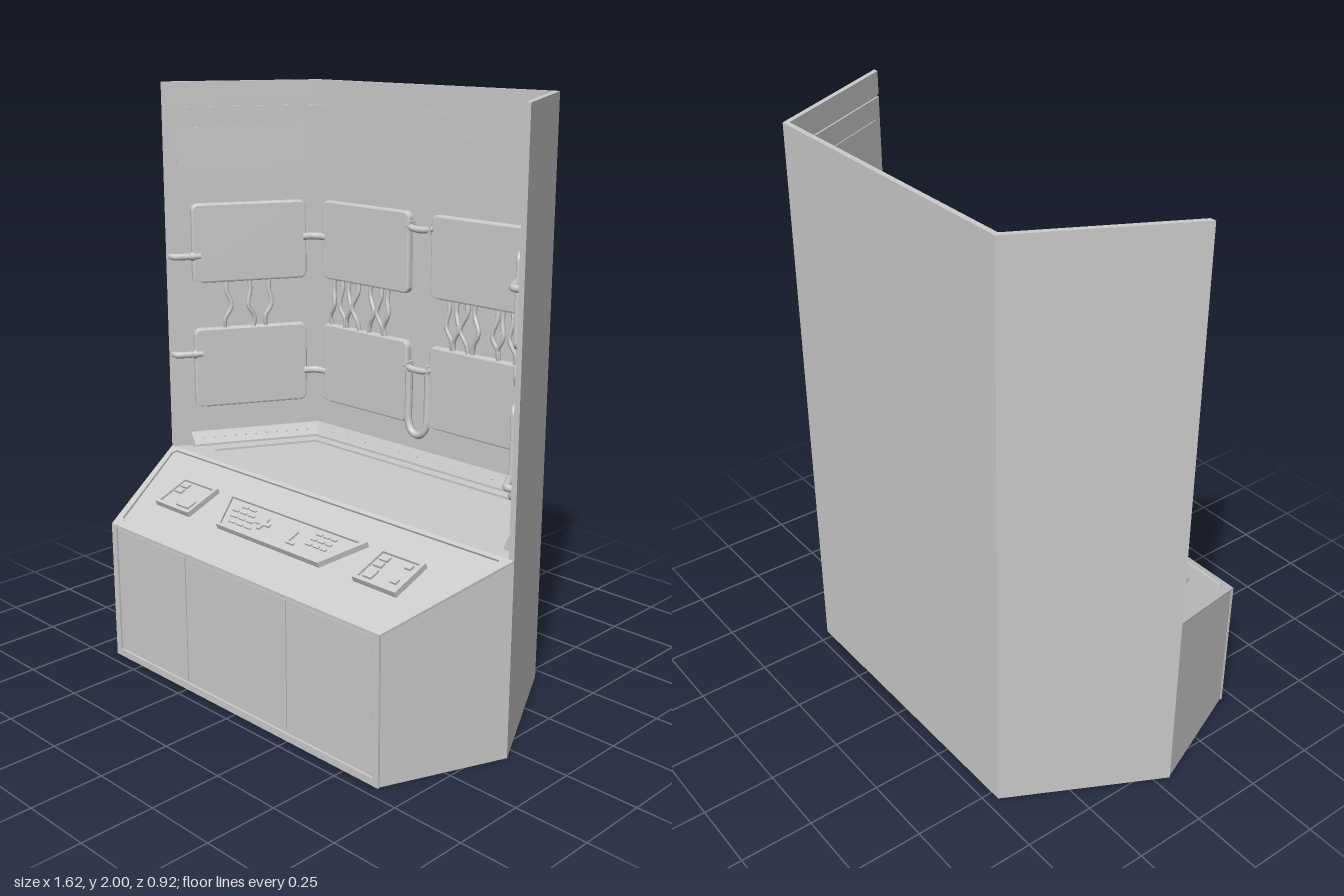
import * as THREE from 'three';
import { ConvexGeometry } from 'three/addons/geometries/ConvexGeometry.js';

const mat = new THREE.MeshStandardMaterial({ color: 0xcccccc, flatShading: true });
const smooth = new THREE.MeshStandardMaterial({ color: 0xcccccc });
const V = (x, y, z) => new THREE.Vector3(x, y, z);

function add(parent, name, geometry, x = 0, y = 0, z = 0, material = mat) {
  const m = new THREE.Mesh(geometry, material);
  m.name = name;
  m.position.set(x, y, z);
  parent.add(m);
  return m;
}
function group(parent, name, x, y, z, rx = 0, ry = 0) {
  const g = new THREE.Group();
  g.name = name;
  g.position.set(x, y, z);
  g.rotation.set(rx, ry, 0);
  parent.add(g);
  return g;
}
const box = (p, name, w, h, d, x, y, z) => add(p, name, new THREE.BoxGeometry(w, h, d), x, y, z);
const poly = pts => new THREE.Shape(pts.map(p => new THREE.Vector2(...p)));
const extrude = (shape, depth) => new THREE.ExtrudeGeometry(shape, { depth, bevelEnabled: false });
function frame(outer, inner, depth) {
  const s = poly(outer);
  s.holes.push(poly(inner));
  return extrude(s, depth);
}
// Symmetric trapezoid: half width and height of the top and bottom edges
const trap = (xt, yt, xb, yb) => [[-xb, yb], [xb, yb], [xt, yt], [-xt, yt]];
function roundRect(w, h, r) {
  const s = new THREE.Shape(), x = w / 2, y = h / 2;
  s.absarc(x - r, y - r, r, 0, Math.PI / 2);
  s.absarc(r - x, y - r, r, Math.PI / 2, Math.PI);
  s.absarc(r - x, r - y, r, Math.PI, Math.PI * 1.5);
  s.absarc(x - r, r - y, r, Math.PI * 1.5, Math.PI * 2);
  return s;
}
function tube(p, name, pts, r, n = 20) {
  const curve = new THREE.CatmullRomCurve3(pts.map(q => V(...q)));
  return add(p, name, new THREE.TubeGeometry(curve, n, r, 8), 0, 0, 0, smooth);
}

// Wall plan: corner i (0..3, from -x to +x) moved inward by o, ending at z = end
function plan(i, o, end = 0.05) {
  const side = i < 2 ? -1 : 1;
  if (i === 1 || i === 2) return [side * (0.535 - 0.597 * o), -0.46 + o];
  return [side * (0.535 - 0.88 * o + 0.475 * (end + 0.46 - 0.475 * o) / 0.88), end];
}
function wallShell(p, name, o0, o1, y0, y1) {
  const pts = [0, 1, 2, 3].map(i => plan(i, o0)).concat([3, 2, 1, 0].map(i => plan(i, o1)));
  const m = add(p, name, extrude(poly(pts.map(([x, z]) => [x, -z])), y1 - y0), 0, y0, 0);
  m.rotation.x = -Math.PI / 2;
}

// Bevelled screen with a latch and slots; x, y is its centre on the wall
function screen(p, x, y, h) {
  const g = group(p, 'screen', x, y, 0);
  add(g, 'screenBody', new THREE.ExtrudeGeometry(roundRect(0.43, h, 0.025),
    { depth: 0.016, bevelThickness: 0.007, bevelSize: 0.007, bevelOffset: -0.007, bevelSegments: 2, curveSegments: 5 }));
  box(g, 'latch', 0.04, 0.045, 0.012, -0.195, 0.025 - h / 2, 0.016);
  box(g, 'slot', 0.03, 0.005, 0.003, -0.14, 0.03 - h / 2, 0.023);
}
function cables(p, xs) {
  xs.forEach((x, i) => {
    const b = 0.012 * (i % 2 ? 1 : -1), lean = 0.008 * ((i * 5) % 3 - 1);
    tube(p, 'cable', [[x, 1.3, 0.01], [x + b * 0.4, 1.25, 0.014], [x - b + lean, 1.19, 0.02],
      [x + b + lean, 1.14, 0.016], [x + b, 1.09, 0.01]], 0.008);
  });
}
// Short pipe leaving a screen edge and turning into the wall
function elbow(p, x, y, dir) {
  tube(p, 'elbowPipe', [[x - dir * 0.02, y, 0.018], [x + dir * 0.04, y, 0.02],
    [x + dir * 0.075, y, 0.016], [x + dir * 0.085, y, -0.005]], 0.012);
  const c = add(p, 'pipeCollar', new THREE.CylinderGeometry(0.016, 0.016, 0.014, 10), x + dir * 0.01, y, 0.018, smooth);
  c.rotation.z = Math.PI / 2;
}

export function createModel() {
  const root = new THREE.Group();
  root.name = 'controlBooth';

  // Folded wall with a groove below its top band
  wallShell(root, 'wallShell', 0, 0.012, 0, 2);
  wallShell(root, 'wallLining', 0.011, 0.018, 0.6, 1.912);
  wallShell(root, 'wallTopBand', 0.011, 0.018, 1.922, 2);

  // Console body
  const body = [];
  for (const s of [-1, 1]) for (const [x, y, z] of [[0.529, 0.652, -0.45], [0.808, 0.652, 0.048], [0.643, 0.492, 0.452]])
    body.push(V(s * x, 0, z), V(s * x, y, z));
  add(root, 'consoleBody', new ConvexGeometry(body));

  // Counter rim around a sunken panel
  const counter = group(root, 'counter', 0, 0.652, 0, -Math.PI / 2);
  add(counter, 'counterRim', frame(trap(0.53, 0.45, 0.81, -0.05), trap(0.475, 0.38, 0.66, 0.025), 0.008));

  // Sloped desk
  const slope = group(root, 'slopedDesk', 0, 0.6525, 0.047, -1.1988);
  const t = z => -(z - 0.05) / 0.932;
  add(slope, 'deskRim', frame(trap(0.81, 0, 0.645, -0.44),
    [[-0.61, t(0.432)], [0.61, t(0.432)], [0.632, t(0.42)], [0.774, t(0.08)], [0.765, t(0.066)],
      [-0.765, t(0.066)], [-0.774, t(0.08)], [-0.632, t(0.42)]], 0.008));
  const yTop = t(0.175), yBot = t(0.315), yMid = (yTop + yBot) / 2;
  add(slope, 'keyPanelFrame', frame(trap(0.33, yTop, 0.245, yBot), trap(0.305, yTop - 0.012, 0.236, yBot + 0.012), 0.02));
  add(slope, 'keyPanel', extrude(poly(trap(0.31, yTop - 0.01, 0.236, yBot + 0.01)), 0.012));
  for (let r = 0; r < 4; r++) {
    const y = yTop - 0.035 - r * 0.026;
    for (let c = 0; c < 3; c++) {
      if (r || c) box(slope, 'key', 0.03, 0.008, 0.007, -0.255 + c * 0.04 + r * 0.017, y, 0.014);
      if (r < 3) box(slope, 'key', 0.025, 0.01, 0.007, 0.145 + c * 0.033, y, 0.014);
    }
  }
  box(slope, 'crossKey', 0.065, 0.014, 0.008, -0.085, yMid, 0.015);
  box(slope, 'crossKey', 0.014, 0.055, 0.008, -0.085, yMid, 0.015);
  box(slope, 'cornerKey', 0.008, 0.06, 0.008, 0.065, yMid - 0.01, 0.015);
  box(slope, 'cornerKey', 0.035, 0.008, 0.008, 0.08, yMid - 0.036, 0.015);
  for (const s of [-1, 1]) {
    const g = group(slope, 'switchBox', s * 0.485, yMid, 0);
    add(g, 'switchFrame', frame(trap(0.09, 0.075, 0.09, -0.075), trap(0.077, 0.062, 0.077, -0.062), 0.02));
    box(g, 'switchPlate', 0.16, 0.13, 0.012, 0, 0, 0.006);
    box(g, 'switch', 0.035, 0.022, 0.01, -0.05, 0.04, 0.015);
    box(g, 'switch', 0.035, 0.022, 0.01, -0.05, 0.01, 0.015);
    box(g, 'switch', s < 0 ? 0.065 : 0.035, 0.04, 0.01, s < 0 ? 0.035 : -0.045, -0.035, 0.015);
    if (s > 0) for (const y of [0.04, -0.03]) box(g, 'switch', 0.025, 0.02, 0.01, 0.05, y, 0.015);
  }

  // Front frame and three doors
  add(root, 'frontFrame', frame(trap(0.645, 0.498, 0.645, 0), trap(0.62, 0.488, 0.62, 0.025), 0.008), 0, 0, 0.452);
  for (const [x, w] of [[-0.432, 0.368], [0, 0.484], [0.432, 0.368]])
    box(root, 'door', w, 0.455, 0.006, x, 0.2565, 0.453);

  // Sloping skirting along the wall foot, with rivets
  for (let i = 0; i < 3; i++) {
    const pts = [];
    for (const j of [i, i + 1]) for (const [o, y] of [[0.014, 0.655], [0.045, 0.655], [0.045, 0.668], [0.025, 0.712], [0.014, 0.712]]) {
      const [x, z] = plan(j, o, 0);
      pts.push(V(x, y, z));
    }
    add(root, 'skirting', new ConvexGeometry(pts));
    const a = plan(i, 0.035, 0), b = plan(i + 1, 0.035, 0);
    for (let k = 1; k < 12; k++)
      add(root, 'rivet', new THREE.SphereGeometry(0.004, 6, 4),
        a[0] + (b[0] - a[0]) * k / 12, 0.69, a[1] + (b[1] - a[1]) * k / 12);
  }

  // Back wall: four screens, cables and linking pipes
  const back = group(root, 'backWallEquipment', 0, 0, -0.442);
  box(back, 'signPanel', 0.98, 0.15, 0.004, 0, 1.765, 0.001);
  for (const x of [-0.265, 0.265]) {
    screen(back, x, 1.425, 0.29);
    screen(back, x, 0.96, 0.3);
  }
  cables(back, [-0.42, -0.385, -0.345, -0.305, -0.235, -0.19, -0.15, 0.13, 0.17, 0.21, 0.25, 0.34, 0.37, 0.405]);
  for (const y of [1.515, 1.015]) {
    tube(back, 'linkPipe', [[-0.06, y + 0.008, 0.016], [-0.03, y, 0.024], [0.03, y, 0.024], [0.06, y + 0.008, 0.016]], 0.012);
    for (const x of [-0.047, 0.047]) box(back, 'pipeClamp', 0.014, 0.036, 0.03, x, y + 0.005, 0.015);
  }
  const u = [[-0.045, 1.0, 0.016], [-0.045, 0.9, 0.016], [-0.043, 0.82, 0.018]];
  tube(back, 'drainPipe', [...u, [-0.027, 0.785, 0.02], [0, 0.773, 0.02], [0.027, 0.785, 0.02],
    ...u.map(([x, y, z]) => [-x, y, z]).reverse()], 0.014, 40);

  // Side walls: two screens each; local x runs along the wall from the back corner
  for (const s of [-1, 1]) {
    const g = group(root, s > 0 ? 'leftWallEquipment' : 'rightWallEquipment', s * 0.524, 0, -0.442, 0, -s * 1.076);
    box(g, 'signPanel', 0.47, 0.15, 0.004, s * 0.29, 1.765, 0.001);
    screen(g, s * 0.265, 1.425, 0.29);
    screen(g, s * 0.265, 0.96, 0.3);
    cables(g, (s > 0 ? [0.12, 0.19, 0.27, 0.34, 0.4] : [0.19, 0.27, 0.35]).map(x => s * x));
    elbow(g, s * 0.47, s > 0 ? 1.48 : 1.38, s);
    elbow(g, s * 0.47, s > 0 ? 0.88 : 1.015, s);
    // Pipes bending round the corner to the back screens
    for (const y of [s > 0 ? 1.37 : 1.435, 0.925])
      tube(root, 'cornerPipe', [[s * 0.46, y, -0.424], [s * 0.49, y, -0.422], [s * 0.515, y, -0.41], [s * 0.535, y, -0.375]], 0.013);
  }
  return root;
}
